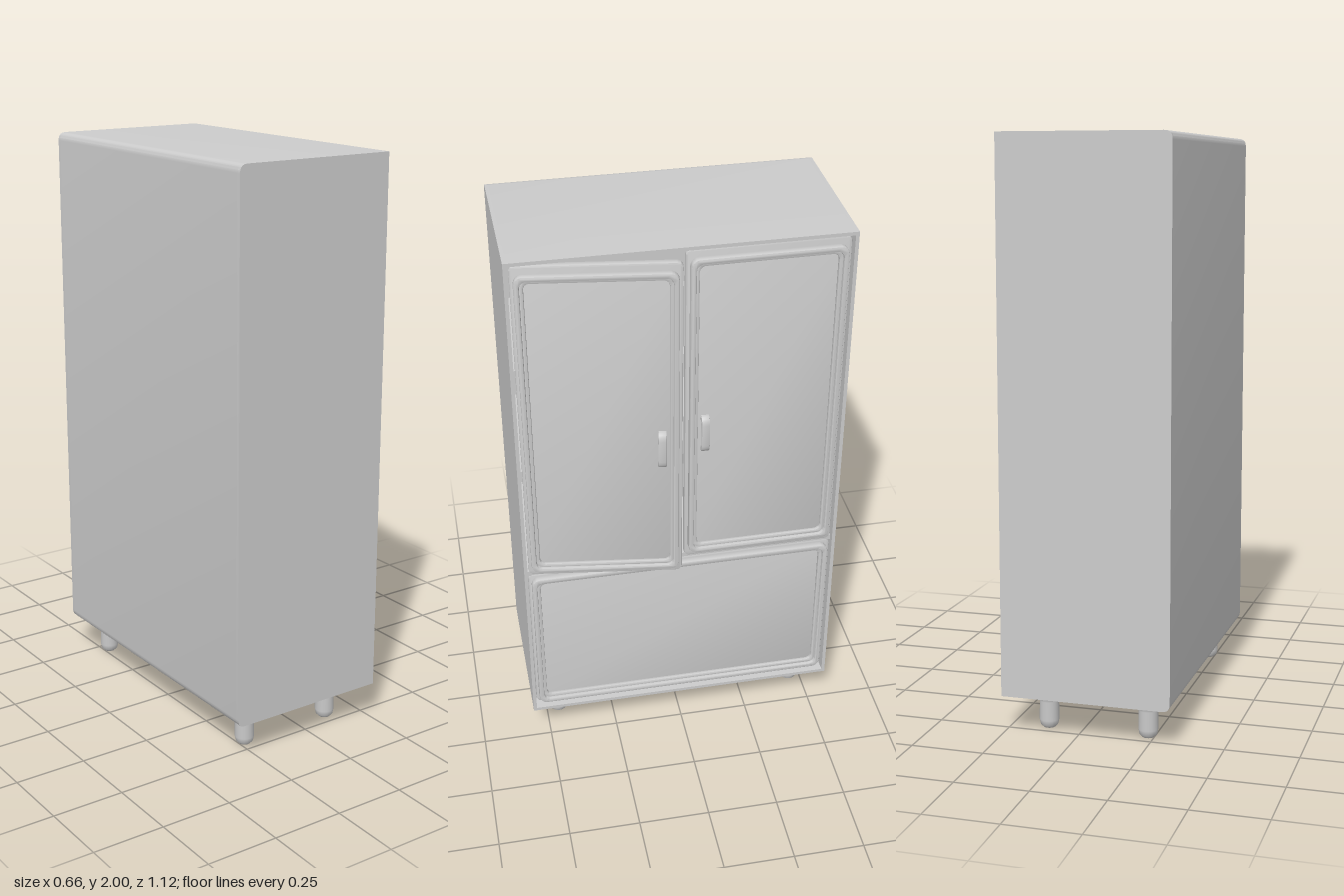
import * as THREE from 'three';
import { toCreasedNormals } from 'three/addons/utils/BufferGeometryUtils.js';

const mat = new THREE.MeshStandardMaterial({ color: 0xcccccc });
const BACK = -0.33, FRONT = 0.255, BASE = 0.13, TOP = 2, HALF = 0.56, WALL = 0.012;

function add(parent, name, geo, x = 0, y = 0, z = 0) {
  const m = new THREE.Mesh(geo, mat);
  m.name = name;
  m.position.set(x, y, z);
  parent.add(m);
  return m;
}

function roundRect(path, w, h, r) {
  const x = w / 2, y = h / 2, q = Math.PI / 2;
  path.absarc(x - r, y - r, r, 0, q);
  path.absarc(-x + r, y - r, r, q, 2 * q);
  path.absarc(-x + r, -y + r, r, 2 * q, 3 * q);
  path.absarc(x - r, -y + r, r, 3 * q, 4 * q);
  path.closePath();
  return path;
}

function extrude(shape, depth, bevel = 0) {
  const geo = new THREE.ExtrudeGeometry(shape, {
    depth: depth - 2 * bevel, curveSegments: 5, bevelEnabled: bevel > 0,
    bevelSize: bevel, bevelThickness: bevel, bevelOffset: -bevel, bevelSegments: 2,
  });
  geo.translate(0, 0, bevel);
  return toCreasedNormals(geo, 0.6);
}

// Side outline of the cabinet, rounded along the back edges
function sideShape(hollow) {
  const s = new THREE.Shape(), r = 0.028, t = 0.03;
  s.moveTo(FRONT, BASE);
  if (hollow) {
    s.lineTo(FRONT, BASE + WALL);
    s.lineTo(BACK + t, BASE + WALL);
    s.lineTo(BACK + t, TOP - WALL);
    s.lineTo(FRONT, TOP - WALL);
  }
  s.lineTo(FRONT, TOP);
  s.lineTo(BACK + r, TOP);
  s.quadraticCurveTo(BACK, TOP, BACK, TOP - r);
  s.lineTo(BACK, BASE + r);
  s.quadraticCurveTo(BACK, BASE, BACK + r, BASE);
  s.closePath();
  return s;
}

// Front with a backing slab, a raised rounded rim and a recessed middle; its face is at local z = 0
function framedPanel(name, w, h, rimW, rimH) {
  const g = new THREE.Group();
  g.name = name;
  add(g, 'backingSlab', extrude(roundRect(new THREE.Shape(), w, h, 0.02), 0.026, 0.005), 0, 0, -0.05);
  const ring = (rw, rh, r, border) => {
    const s = roundRect(new THREE.Shape(), rw, rh, r);
    s.holes.push(roundRect(new THREE.Path(), rw - 2 * border, rh - 2 * border, r * 0.8));
    return s;
  };
  add(g, 'raisedRim', extrude(ring(rimW, rimH, 0.03, 0.018), 0.028, 0.005), 0, 0, -0.028);
  add(g, 'innerStep', extrude(ring(rimW - 0.024, rimH - 0.024, 0.026, 0.018), 0.016, 0.004), 0, 0, -0.028);
  g.rotation.y = Math.PI / 2;
  return g;
}

// Bowed pull handle
function handleGeometry() {
  const s = new THREE.Shape();
  s.moveTo(0, -0.07);
  s.lineTo(0.01, -0.07);
  s.quadraticCurveTo(0.026, -0.065, 0.028, -0.04);
  s.lineTo(0.028, 0.04);
  s.quadraticCurveTo(0.026, 0.065, 0.01, 0.07);
  s.lineTo(0, 0.07);
  s.lineTo(0, 0.052);
  s.quadraticCurveTo(0.016, 0.05, 0.016, 0.035);
  s.lineTo(0.016, -0.035);
  s.quadraticCurveTo(0.016, -0.05, 0, -0.052);
  s.closePath();
  const geo = extrude(s, 0.028, 0.003);
  geo.translate(0, 0, -0.014);
  geo.rotateY(-Math.PI / 2);
  return geo;
}

export function createModel() {
  const model = new THREE.Group();
  model.name = 'cupboard';

  // Cabinet shell
  const cabinet = new THREE.Group();
  cabinet.name = 'cabinet';
  model.add(cabinet);
  add(cabinet, 'topBackAndFloor', extrude(sideShape(true), 2 * (HALF - WALL)), 0, 0, -HALF + WALL);
  add(cabinet, 'rightSide', extrude(sideShape(false), WALL), 0, 0, -HALF);
  add(cabinet, 'leftSide', extrude(sideShape(false), WALL), 0, 0, HALF - WALL);

  // Divider and shelves
  const inner = 2 * (HALF - WALL);
  add(cabinet, 'divider', new THREE.BoxGeometry(0.535, 0.02, inner), -0.035, 0.77, 0);
  for (const y of [1.16, 1.56]) {
    add(cabinet, 'shelf', new THREE.BoxGeometry(0.48, 0.025, inner), -0.06, y, 0);
  }

  // Drawer front
  const drawer = framedPanel('drawerFront', 1.09, 0.61, 1.07, 0.59);
  drawer.position.set(0.258, 0.46, 0);
  model.add(drawer);

  // Doors hang on hinges at the outer edges; the left one stands ajar
  const handle = handleGeometry();
  for (const side of [1, -1]) {
    const hinge = new THREE.Group();
    hinge.name = side > 0 ? 'leftDoor' : 'rightDoor';
    hinge.position.set(0.258, 1.373, side * 0.548);
    const door = framedPanel('doorPanel', 0.535, 1.21, 0.51, 1.16);
    door.position.z = -side * 0.27;
    add(door, 'handle', handle, side * 0.2, -0.083, -0.0275);
    hinge.add(door);
    if (side > 0) hinge.rotation.y = -0.14;
    model.add(hinge);
  }

  // Turned feet with flared tops
  const profile = [[0, 0], [0.02, 0.002], [0.03, 0.012], [0.034, 0.03], [0.033, 0.095],
    [0.037, 0.112], [0.05, 0.122], [0.068, 0.131]].map(([r, y]) => new THREE.Vector2(r, y));
  const footGeo = new THREE.LatheGeometry(profile, 20);
  for (const x of [-0.23, 0.12]) {
    for (const z of [-0.455, 0.455]) add(model, 'foot', footGeo, x, 0, z);
  }
  return model;
}
